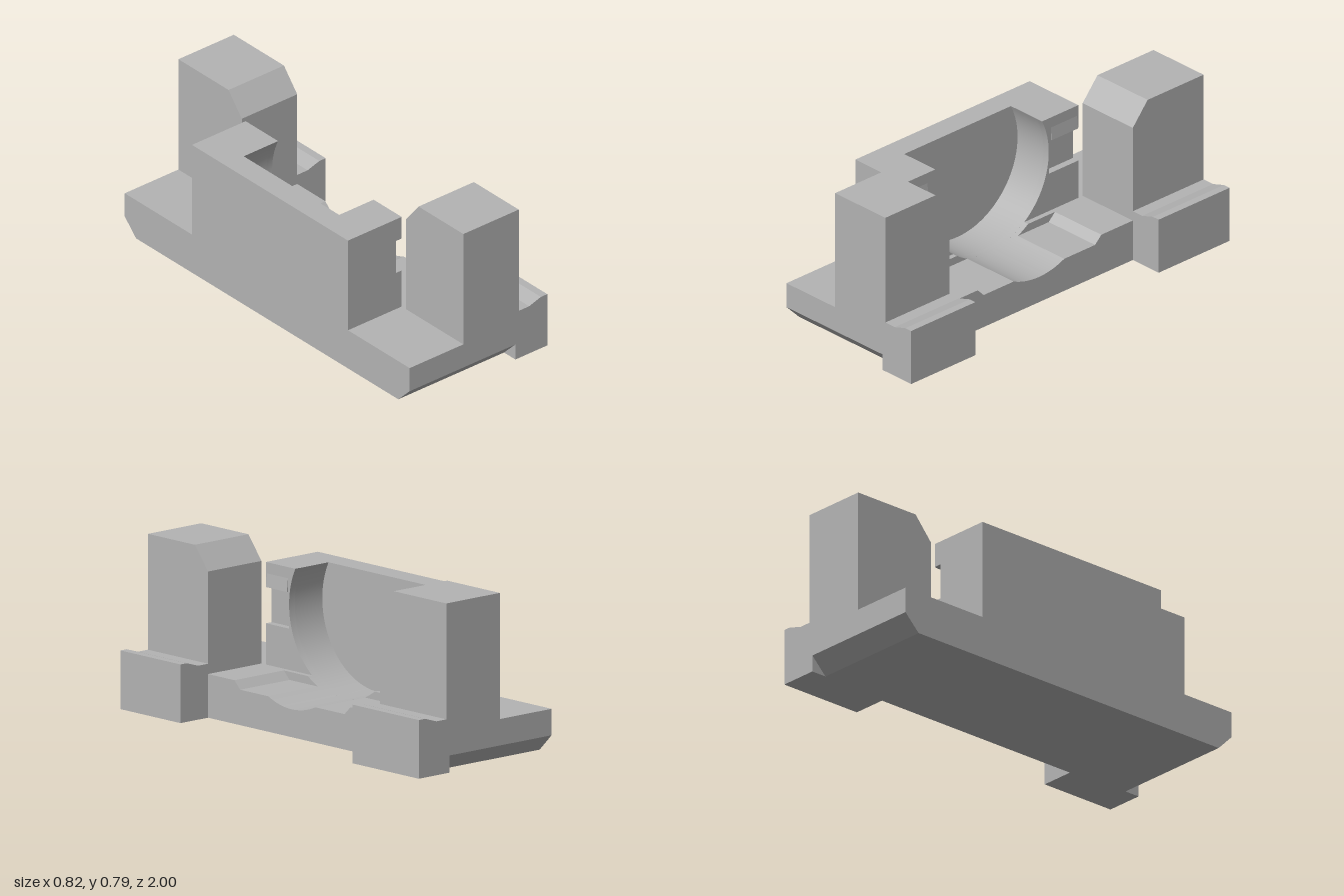
import * as THREE from 'three';
import { toCreasedNormals } from 'three/addons/utils/BufferGeometryUtils.js';

export function createModel() {
  const group = new THREE.Group();
  const grey = new THREE.MeshStandardMaterial({ color: 0xb3b3b3 });
  grey.name = 'plain grey';

  const toShape = (points) => new THREE.Shape(points.map(([a, b]) => new THREE.Vector2(a, b)));

  function add(name, geometry) {
    const mesh = new THREE.Mesh(toCreasedNormals(geometry, 0.2), grey);
    mesh.name = name;
    group.add(mesh);
  }

  // Slice with a (z, y) outline, running from x0 to x1
  function slice(name, x0, x1, points) {
    const geometry = new THREE.ExtrudeGeometry(toShape(points), { depth: x1 - x0, bevelEnabled: false });
    geometry.rotateY(-Math.PI / 2).translate(x1, 0, 0);
    add(name, geometry);
  }

  // Round bore: the arc below height y, from +z round the bottom to -z
  const boreZ = 0.035, boreY = 0.507, boreR = 0.377;
  function bore(y) {
    const start = Math.asin((y - boreY) / boreR);
    const end = -Math.PI - start;
    const points = [];
    for (let i = 0; i <= 64; i++) {
      const a = start + (end - start) * i / 64;
      points.push([boreZ + boreR * Math.cos(a), boreY + boreR * Math.sin(a)]);
    }
    return points;
  }

  // Base underside with chamfered ends, closed by a given top edge (+z to -z)
  const body = (top) => [[-0.92, 0], [0.92, 0], [1, 0.08], ...top, [-1, 0.08]];

  // Rear wall, hollow wall, and its front layer with side notches
  const wall = (cut, right = [], left = []) => body([
    [1, 0.203], [0.567, 0.203], ...right, [0.567, 0.68],
    ...cut, [-0.528, 0.68], ...left, [-0.528, 0.203], [-1, 0.203],
  ]);
  const notch = (outer, inner) => [[outer, 0.395], [inner, 0.395], [inner, 0.565], [outer, 0.565]];
  slice('rearWall', -0.41, -0.295, wall([]));
  slice('boredWall', -0.295, -0.125, wall(bore(0.68)));
  slice('notchedWall', -0.125, -0.09, wall(bore(0.68),
    notch(0.567, 0.414), notch(-0.528, -0.344).reverse()));

  // Towers with sloped inner tops, joined by the grooved bed
  const towers = (bed) => body([
    [1, 0.79], [0.685, 0.79], [0.597, 0.68], [0.597, 0.203],
    ...bed, [-0.555, 0.203], [-0.555, 0.68], [-0.648, 0.79], [-1, 0.79],
  ]);
  slice('towersAndBedLip', -0.09, -0.065, towers(bore(0.203)));
  slice('towersAndBed', -0.065, 0.24, towers([
    [0.42, 0.203], [0.382, 0.165], ...bore(0.165), [-0.318, 0.165], [-0.357, 0.203],
  ]));

  // Stepped feet beside the towers and small lips above the notches
  function prism(name, z0, z1, points) {
    const geometry = new THREE.ExtrudeGeometry(toShape(points), { depth: z1 - z0, bevelEnabled: false });
    add(name, geometry.translate(0, 0, z0));
  }
  const foot = [[0.22, 0], [0.41, 0], [0.41, 0.273], [0.372, 0.273], [0.302, 0.251], [0.22, 0.251]];
  const lip = [[-0.092, 0.565], [-0.084, 0.565], [-0.09, 0.628], [-0.092, 0.628]];
  prism('frontFoot', 0.597, 1, foot);
  prism('backFoot', -1, -0.555, foot);
  prism('frontLip', 0.42, 0.56, lip);
  prism('backLip', -0.52, -0.355, lip);

  return group;
}
